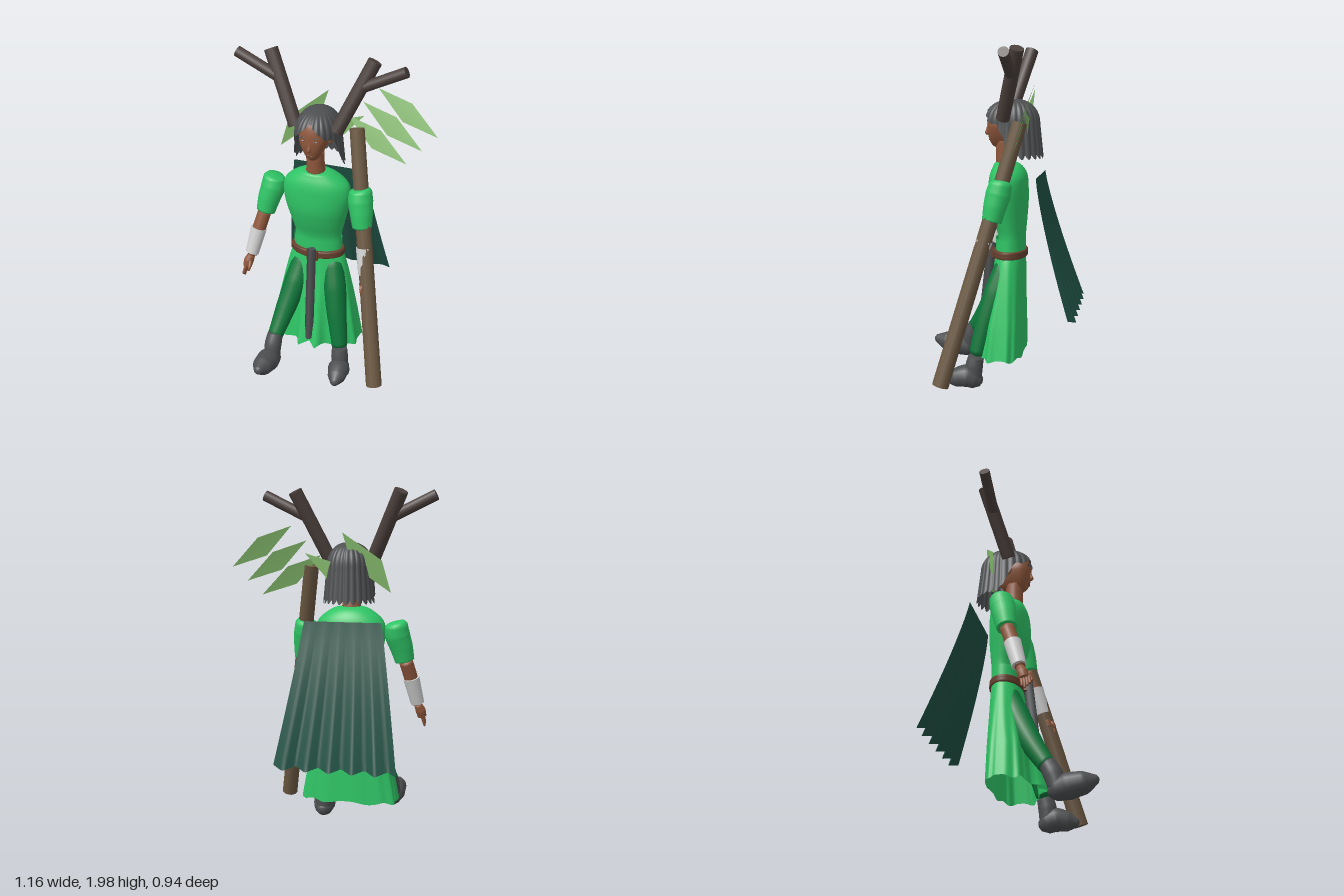
import * as THREE from 'three';
import { mergeVertices } from 'three/addons/utils/BufferGeometryUtils.js';

const mat = (name, color, side = THREE.FrontSide) => {
  const m = new THREE.MeshStandardMaterial({ color, side });
  m.name = name;
  return m;
};
const V = (x, y, z) => new THREE.Vector3(x, y, z);
const { lerp, smoothstep } = THREE.MathUtils;
const CX = -0.08; // body centre line

// Smooth normals over a merged skin
function smooth(geo) {
  geo.deleteAttribute('uv');
  geo.deleteAttribute('normal');
  const g = mergeVertices(geo, 1e-5);
  g.computeVertexNormals();
  return g;
}

// Grid surface from fn(u, v) -> [x, y, z]
function surface(nu, nv, fn) {
  const pos = [], idx = [], w = nu + 1;
  for (let j = 0; j <= nv; j++) for (let i = 0; i <= nu; i++) pos.push(...fn(i / nu, j / nv));
  for (let j = 0; j < nv; j++) for (let i = 0; i < nu; i++) {
    const a = j * w + i;
    idx.push(a, a + 1, a + w + 1, a, a + w + 1, a + w);
  }
  const g = new THREE.BufferGeometry();
  g.setAttribute('position', new THREE.Float32BufferAttribute(pos, 3));
  g.setIndex(idx);
  return smooth(g);
}

// Elliptical body from sections [y, rx, zCentre, rz], bottom to top
function loft(sections) {
  const path = new THREE.CatmullRomCurve3(sections.map(s => V(s[0], s[1], s[2])));
  const depth = new THREE.CatmullRomCurve3(sections.map(s => V(s[0], s[3], 0)));
  return surface(40, sections.length * 4, (u, v) => {
    const p = path.getPoint(v), rz = depth.getPoint(v).y, a = u * Math.PI * 2;
    return [CX + p.y * Math.sin(a), p.x, p.z + rz * Math.cos(a)];
  });
}

// Tube of changing radius through points [x, y, z, r], closed at both ends
function limb(pts, sides = 16) {
  const curve = new THREE.CatmullRomCurve3(pts.map(p => V(p[0], p[1], p[2])));
  const n = pts.length * 6, g = new THREE.TubeGeometry(curve, n, 1, sides);
  const pos = g.attributes.position, p = V(0, 0, 0);
  for (let i = 0; i <= n; i++) {
    const c = curve.getPointAt(i / n);
    const t = curve.getUtoTmapping(i / n) * (pts.length - 1), k = Math.min(pts.length - 2, Math.floor(t));
    const r = i === 0 || i === n ? 0 : lerp(pts[k][3], pts[k + 1][3], t - k);
    for (let j = 0; j <= sides; j++) {
      const q = i * (sides + 1) + j;
      p.fromBufferAttribute(pos, q).sub(c).multiplyScalar(r).add(c);
      pos.setXYZ(q, p.x, p.y, p.z);
    }
  }
  return smooth(g);
}

// Straight cylinder between two points
function rod(a, b, ra, rb, sides = 12) {
  const d = b.clone().sub(a), g = new THREE.CylinderGeometry(rb, ra, d.length(), sides);
  g.applyQuaternion(new THREE.Quaternion().setFromUnitVectors(V(0, 1, 0), d.normalize()));
  return g.translate((a.x + b.x) / 2, (a.y + b.y) / 2, (a.z + b.z) / 2);
}

const ball = (x, y, z, rx, ry, rz) => new THREE.SphereGeometry(1, 16, 10).scale(rx, ry, rz).translate(x, y, z);

export function createModel() {
  const root = new THREE.Group();
  root.name = 'forestWanderer';
  const D = THREE.DoubleSide;
  const green = mat('tunicGreen', 0x2fc566, D), pants = mat('trouserGreen', 0x0d7539);
  const teal = mat('capeTeal', 0x1f5043, D), leafMat = mat('leafGreen', 0x84b96c, D);
  const skin = mat('skin', 0x8f573c), grey = mat('charcoal', 0x4d4f51, D), white = mat('bracerWhite', 0xd2d2d2);
  const antlerMat = mat('antlerBrown', 0x4b403c), wood = mat('staffWood', 0x6b5842), leather = mat('beltLeather', 0x67402f);
  const add = (name, geo, m, parent = root) => {
    const mesh = new THREE.Mesh(geo, m);
    mesh.name = name;
    parent.add(mesh);
  };

  // Tunic
  add('tunic', loft([[0.82, 0.145, -0.055, 0.082], [0.9, 0.143, -0.057, 0.08], [1.0, 0.165, -0.045, 0.1],
    [1.1, 0.19, -0.036, 0.116], [1.2, 0.204, -0.035, 0.115], [1.26, 0.188, -0.035, 0.108],
    [1.31, 0.13, -0.03, 0.085], [1.333, 0.08, -0.02, 0.06], [1.335, 0.001, -0.02, 0.001]]), green);

  // Skirt flaring below the belt, squarer at the front hem, with two front folds
  add('skirt', surface(128, 24, (u, v) => {
    const a = u * Math.PI * 2, s = Math.sin(a), c = Math.cos(a), y = lerp(0.2, 0.89, v);
    const f = Math.max(0, (0.8 - y) / 0.6), wave = 1 + 0.025 * f * Math.sin(a * 12);
    const e = lerp(1, c > 0 ? 0.55 : 0.8, Math.min(1, f * 1.5));
    const pw = q => Math.sign(q) * Math.pow(Math.abs(q), e);
    const dx = pw(s) * (0.149 + 0.131 * Math.pow(f, 0.75)) * wave;
    const bump = m => Math.exp(-(((dx - m) / 0.03) ** 2));
    const fold = c > 0 ? (bump(0.045) + bump(-0.045)) * 0.09 * f * f : 0;
    const rz = c > 0 ? lerp(0.088, 0.155, f) : 0.088;
    return [CX + dx, y + 0.008 * f * Math.cos(a * 8), -0.05 + pw(c) * rz * wave + fold];
  }), green);

  // Belt, buckle and hanging strap
  add('belt', loft([[0.776, 0.14, -0.047, 0.08], [0.78, 0.163, -0.047, 0.1], [0.8, 0.165, -0.047, 0.102],
    [0.82, 0.163, -0.047, 0.1], [0.824, 0.14, -0.047, 0.08]]), leather);
  add('buckle', new THREE.BoxGeometry(0.068, 0.06, 0.02).translate(CX, 0.8, 0.058), leather);
  add('strap', rod(V(CX, 0.24, 0.133), V(CX, 0.85, 0.066), 0.028, 0.028, 4), grey);

  // Legs and boots
  const legs = [
    { side: 'right', leg: [[-0.15, 0.79, -0.05, 0.03], [-0.165, 0.72, -0.03, 0.066], [-0.195, 0.58, 0.03, 0.073],
      [-0.235, 0.42, 0.11, 0.063], [-0.275, 0.25, 0.215, 0.046]],
      boot: [[-0.27, 0.285, 0.2, 0.046], [-0.276, 0.22, 0.235, 0.052], [-0.278, 0.14, 0.26, 0.05]],
      foot: [[-0.275, 0.125, 0.205, 0.02], [-0.277, 0.13, 0.245, 0.055], [-0.28, 0.148, 0.315, 0.071],
        [-0.285, 0.162, 0.4, 0.06], [-0.286, 0.178, 0.475, 0.016]] },
    { side: 'left', leg: [[0.0, 0.79, -0.05, 0.03], [0.02, 0.72, -0.03, 0.066], [0.05, 0.58, 0.02, 0.07],
      [0.08, 0.42, 0.07, 0.061], [0.12, 0.2, 0.125, 0.046]],
      boot: [[0.117, 0.212, 0.122, 0.046], [0.123, 0.15, 0.135, 0.052], [0.128, 0.07, 0.14, 0.05]],
      foot: [[0.128, 0.048, 0.085, 0.02], [0.128, 0.064, 0.125, 0.054], [0.133, 0.086, 0.18, 0.068],
        [0.14, 0.075, 0.25, 0.053], [0.143, 0.066, 0.31, 0.016]] },
  ];
  for (const l of legs) {
    add(l.side + 'Trouser', limb(l.leg), pants);
    add(l.side + 'BootShaft', limb(l.boot), grey);
    add(l.side + 'BootFoot', limb(l.foot), grey);
  }

  // Arms: sleeve, forearm, bracer and hand with fingers
  const arms = { right: [-0.348, -0.388, -0.42, -0.452, -0.492], left: [0.188, 0.212, 0.238, 0.261, 0.268] };
  for (const [side, x] of Object.entries(arms)) {
    const arm = new THREE.Group(), out = side === 'right' ? -1 : 1;
    arm.name = side + 'Arm';
    root.add(arm);
    add('sleeve', limb([[x[0] - out * 0.01, 1.258, -0.035, 0.042], [x[0] - out * 0.005, 1.235, -0.032, 0.066],
      [x[0], 1.18, -0.02, 0.073], [lerp(x[0], x[1], 0.5), 1.11, -0.003, 0.067], [x[1], 1.02, 0.015, 0.056]]), green, arm);
    add('forearm', limb([[x[1], 1.04, 0.01, 0.04], [x[2], 0.91, 0.055, 0.04], [x[3], 0.74, 0.105, 0.028]]), skin, arm);
    add('bracer', rod(V(x[3], 0.765, 0.095), V(x[2], 0.92, 0.052), 0.04, 0.048, 16), white, arm);
    add('palm', limb([[x[3], 0.755, 0.1, 0.022], [lerp(x[3], x[4], 0.4), 0.715, 0.115, 0.03],
      [lerp(x[3], x[4], 0.6), 0.675, 0.127, 0.026]]), skin, arm);
    for (let i = 0; i < 4; i++) {
      const z = 0.108 + i * 0.014, tip = 0.615 + 0.012 * Math.abs(i - 1);
      add('finger', limb([[lerp(x[3], x[4], 0.6), 0.69, z, 0.009], [lerp(x[3], x[4], 0.85), 0.65, z + 0.008, 0.009],
        [x[4], tip, z + 0.01, 0.006]], 8), skin, arm);
    }
    add('thumb', limb([[x[3], 0.725, 0.125, 0.01], [x[3] - out * 0.005, 0.695, 0.155, 0.01],
      [x[3], 0.67, 0.165, 0.006]], 8), skin, arm);
  }

  // Head and face
  const head = new THREE.Group();
  head.name = 'head';
  root.add(head);
  const jaw = s => (s < 0 ? 1 + 0.3 * s : 1);
  const faceZ = (dx, y) => {
    const s = (y - 1.545) / 0.13, q = dx / (0.08 * jaw(s));
    return 0.09 * Math.pow(Math.max(0, 1 - s * s - q * q), 0.3);
  };
  add('skull', surface(48, 32, (u, v) => {
    const a = u * Math.PI * 2, s = -Math.cos(v * Math.PI), r = Math.sin(v * Math.PI), sz = r * Math.cos(a);
    return [CX + 0.08 * r * Math.sin(a) * jaw(s), 1.545 + 0.13 * s,
      sz > 0 ? 0.09 * Math.pow(sz, 0.6) : 0.12 * sz];
  }), skin, head);
  add('neck', limb([[CX, 1.29, -0.02, 0.058], [CX, 1.38, -0.012, 0.052], [CX, 1.47, -0.01, 0.052]]), skin, head);
  add('nose', limb([[CX, 1.56, 0.083, 0.005], [CX, 1.525, 0.089, 0.009], [CX, 1.504, 0.093, 0.012], [CX, 1.495, 0.085, 0.008]], 10), skin, head);
  add('mouth', ball(CX, 1.464, faceZ(0, 1.464), 0.022, 0.004, 0.003), leather, head);
  for (const s of [-1, 1]) {
    add('eye', ball(CX + s * 0.033, 1.556, faceZ(0.033, 1.556), 0.012, 0.0035, 0.002), white, head);
    add('iris', ball(CX + s * 0.033, 1.556, faceZ(0.033, 1.556) + 0.001, 0.006, 0.004, 0.002), grey, head);
    add('brow', ball(CX + s * 0.035, 1.575, faceZ(0.035, 1.575), 0.02, 0.004, 0.003), grey, head);
    add('ear', ball(CX + s * 0.083, 1.535, -0.03, 0.012, 0.034, 0.02), skin, head);
  }

  // Chin-length hair, parted over the forehead and swept back, with ridged locks
  add('hair', surface(168, 24, (u, v) => {
    const a = u * Math.PI * 2, off = Math.min(u, 1 - u) * 360, lock = Math.abs(Math.sin(a * 12));
    const fringe = 1.655 - 0.095 * Math.min(1, off / 45);
    const end = lerp(fringe, 1.385 - 0.025 * lock, smoothstep(off, 58, 96));
    const y = lerp(end, 1.7, Math.sin(v * Math.PI / 2)), d = (y - 1.56) / 0.14;
    const k = d > 0 ? Math.pow(Math.max(0, 1 - d * d), 0.42) : 1 - d * 0.1;
    const r = k * (0.97 + 0.05 * lock);
    return [CX + 0.128 * r * Math.sin(a), y, -0.068 + (Math.cos(a) > 0 ? 0.178 : 0.148) * r * Math.cos(a)];
  }), grey, head);

  // Forked antlers
  for (const s of [-1, 1]) {
    const p = (x, y, z) => V(CX + s * x, y, z);
    add('antler', rod(p(0.12, 1.59, -0.02), p(0.3, 1.98, -0.128), 0.04, 0.04), antlerMat);
    add('antlerBranch', rod(p(0.225, 1.83, -0.085), p(0.487, 1.958, -0.085), 0.031, 0.031), antlerMat);
  }

  // Leaning staff with diamond leaves
  add('staff', rod(V(0.388, 0.11, 0.277), V(0.125, 1.575, -0.13), 0.048, 0.043), wood);
  const leaf = (...c) => {
    const g = new THREE.BufferGeometry().setFromPoints(c.map(p => V(...p)));
    g.setIndex([0, 2, 1, 0, 3, 2]);
    g.computeVertexNormals();
    add('leaf', g, leafMat);
  };
  for (let i = 0; i < 3; i++) {
    const p = (x, y, z) => [x - i * 0.078, y - i * 0.08, z + i * 0.03];
    leaf(p(0.215, 1.79, -0.225), p(0.41, 1.725, -0.225), p(0.575, 1.56, -0.185), p(0.37, 1.625, -0.188));
  }
  leaf([-0.32, 1.42, -0.085], [-0.27, 1.6, -0.1], [-0.065, 1.755, -0.19], [-0.115, 1.575, -0.165]);
  leaf([-0.18, 1.4, -0.165], [-0.07, 1.57, -0.17], [0.155, 1.64, -0.165], [0.03, 1.5, -0.16]);

  // Pleated cape swinging out behind
  add('cape', surface(60, 14, (u, v) => {
    const f = 1 - v, pleat = Math.abs(((u * 5.4 + 0.1) % 1) * 2 - 1);
    return [lerp(lerp(-0.425, 0.27, u), lerp(-0.295, 0.145, u), v),
      lerp(0.485, 1.265, v) - 0.02 * f * pleat, -0.225 - 0.2 * Math.pow(f, 1.25) - 0.045 * pleat * f];
  }), teal);

  return root;
}
